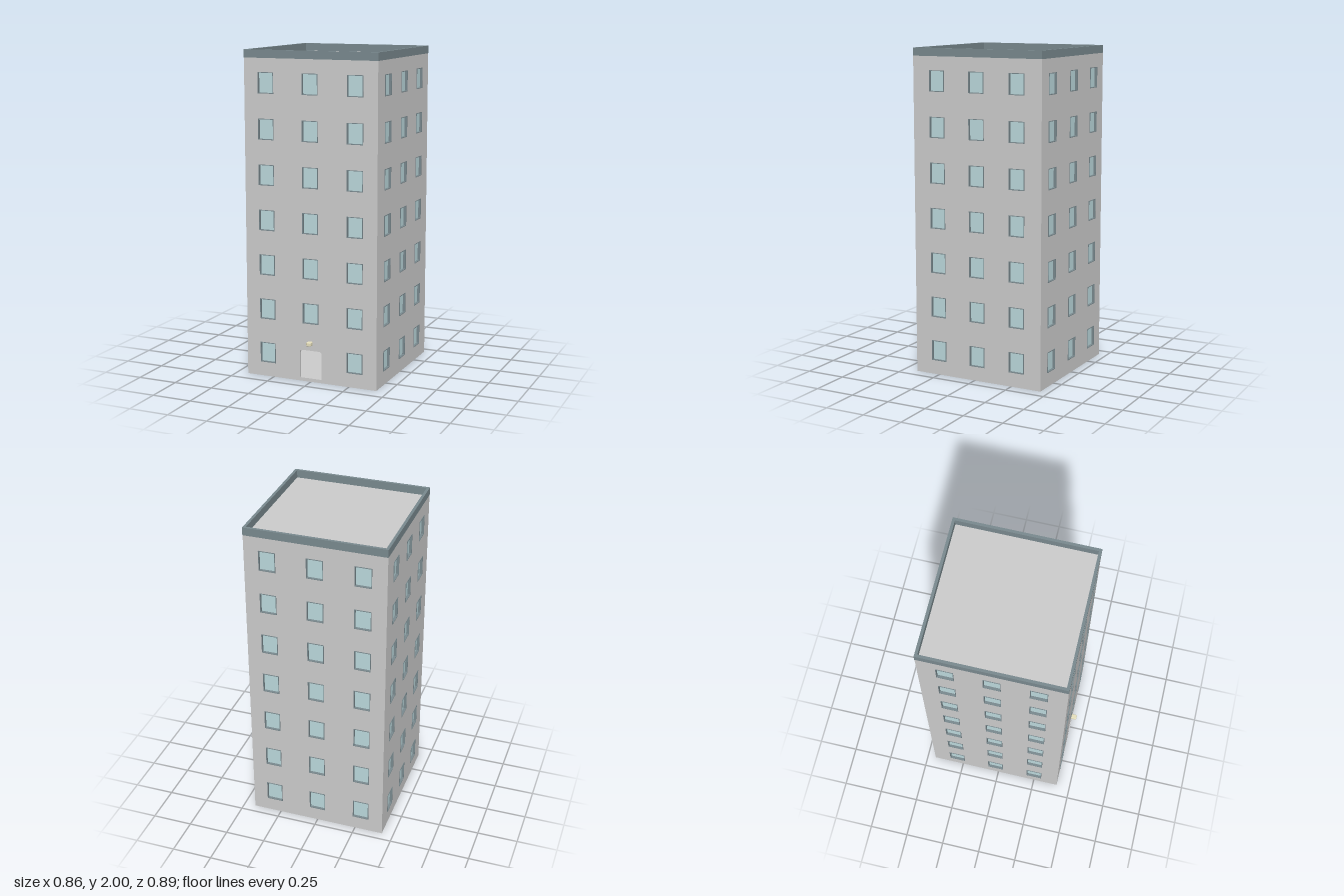
import * as THREE from 'three';
import { RoundedBoxGeometry } from 'three/addons/geometries/RoundedBoxGeometry.js';

const HALF = 0.428, WALL = 0.016, TOP = 1.952, CENTRE_Z = -0.018;
const WIN_W = 0.098, WIN_H = 0.122, FLOORS = 7, FIRST = 0.151, STEP = 0.2758;

const wallMat = new THREE.MeshStandardMaterial({ color: 0xcccccc });
const trimMat = new THREE.MeshStandardMaterial({ color: 0x79898e });
const glassMat = new THREE.MeshStandardMaterial({ color: 0xbbd8dc });
const lampMat = new THREE.MeshStandardMaterial({ color: 0xe6dfbc });

function add(parent, name, geometry, material, x = 0, y = 0, z = 0) {
  const mesh = new THREE.Mesh(geometry, material);
  mesh.name = name;
  mesh.position.set(x, y, z);
  parent.add(mesh);
  return mesh;
}

// Rectangle outline, usable as a shape or a hole
function rect(path, x, y, w, h) {
  path.moveTo(x - w / 2, y - h / 2);
  path.lineTo(x + w / 2, y - h / 2);
  path.lineTo(x + w / 2, y + h / 2);
  path.lineTo(x - w / 2, y + h / 2);
  path.closePath();
  return path;
}

// Open doorway with rounded upper corners
function doorway() {
  const p = new THREE.Path(), w = 0.072, y0 = 0.021, y1 = 0.196, r = 0.018;
  p.moveTo(-w, y0);
  p.lineTo(w, y0);
  p.lineTo(w, y1 - r);
  p.quadraticCurveTo(w, y1, w - r, y1);
  p.lineTo(-w + r, y1);
  p.quadraticCurveTo(-w, y1, -w, y1 - r);
  p.closePath();
  return p;
}

const extrude = (shape, depth) =>
  new THREE.ExtrudeGeometry(shape, { depth, bevelEnabled: false, curveSegments: 6 });

// Thin window surround, shared by all windows
const frameShape = rect(new THREE.Shape(), 0, 0, WIN_W + 0.004, WIN_H + 0.004);
frameShape.holes.push(rect(new THREE.Path(), 0, 0, WIN_W - 0.004, WIN_H - 0.004));
const frameGeo = extrude(frameShape, WALL + 0.003);
const glassGeo = new THREE.BoxGeometry(WIN_W - 0.002, WIN_H - 0.002, 0.002);

// One facade: pierced wall with its windows, facing +z before turning
function facade(name, width, spacing, angle, hasDoor) {
  const side = new THREE.Group();
  side.name = name;
  const wall = rect(new THREE.Shape(), 0, TOP / 2, width, TOP);
  for (let floor = 0; floor < FLOORS; floor++) {
    for (let col = -1; col <= 1; col++) {
      if (hasDoor && floor === 0 && col === 0) {
        wall.holes.push(doorway());
        continue;
      }
      const x = col * spacing, y = FIRST + floor * STEP;
      wall.holes.push(rect(new THREE.Path(), x, y, WIN_W, WIN_H));
      add(side, 'windowFrame', frameGeo, trimMat, x, y, HALF - WALL);
      add(side, 'windowGlass', glassGeo, glassMat, x, y, HALF - WALL + 0.002);
    }
  }
  add(side, 'wall', extrude(wall, WALL), wallMat, 0, 0, HALF - WALL);
  side.rotation.y = angle;
  return side;
}

export function createModel() {
  const model = new THREE.Group();
  model.name = 'apartmentBlock';
  const tower = new THREE.Group();
  tower.name = 'tower';
  tower.position.z = CENTRE_Z;
  model.add(tower);

  // Four walls; the side walls fit between the front and back
  const full = 2 * HALF, between = full - 2 * WALL;
  tower.add(facade('frontFacade', full, 0.287, 0, true));
  tower.add(facade('backFacade', full, 0.287, Math.PI, false));
  tower.add(facade('leftFacade', between, 0.267, Math.PI / 2, false));
  tower.add(facade('rightFacade', between, 0.267, -Math.PI / 2, false));

  // Ground floor and roof slabs
  add(tower, 'floorSlab', new THREE.BoxGeometry(between, 0.02, between), wallMat, 0, 0.01, 0);
  add(tower, 'roofSlab', new THREE.BoxGeometry(between, 0.016, between), wallMat, 0, TOP - 0.008, 0);

  // Parapet ring around the flat roof
  const ring = rect(new THREE.Shape(), 0, 0, full + 0.002, full + 0.002);
  ring.holes.push(rect(new THREE.Path(), 0, 0, between, between));
  const parapet = add(tower, 'parapet', extrude(ring, 2 - TOP), trimMat, 0, TOP, 0);
  parapet.rotation.x = -Math.PI / 2;

  // Lamp above the doorway
  add(tower, 'doorLamp', new RoundedBoxGeometry(0.03, 0.024, 0.036, 3, 0.005), lampMat, 0, 0.244, HALF + 0.0175);
  return model;
}
